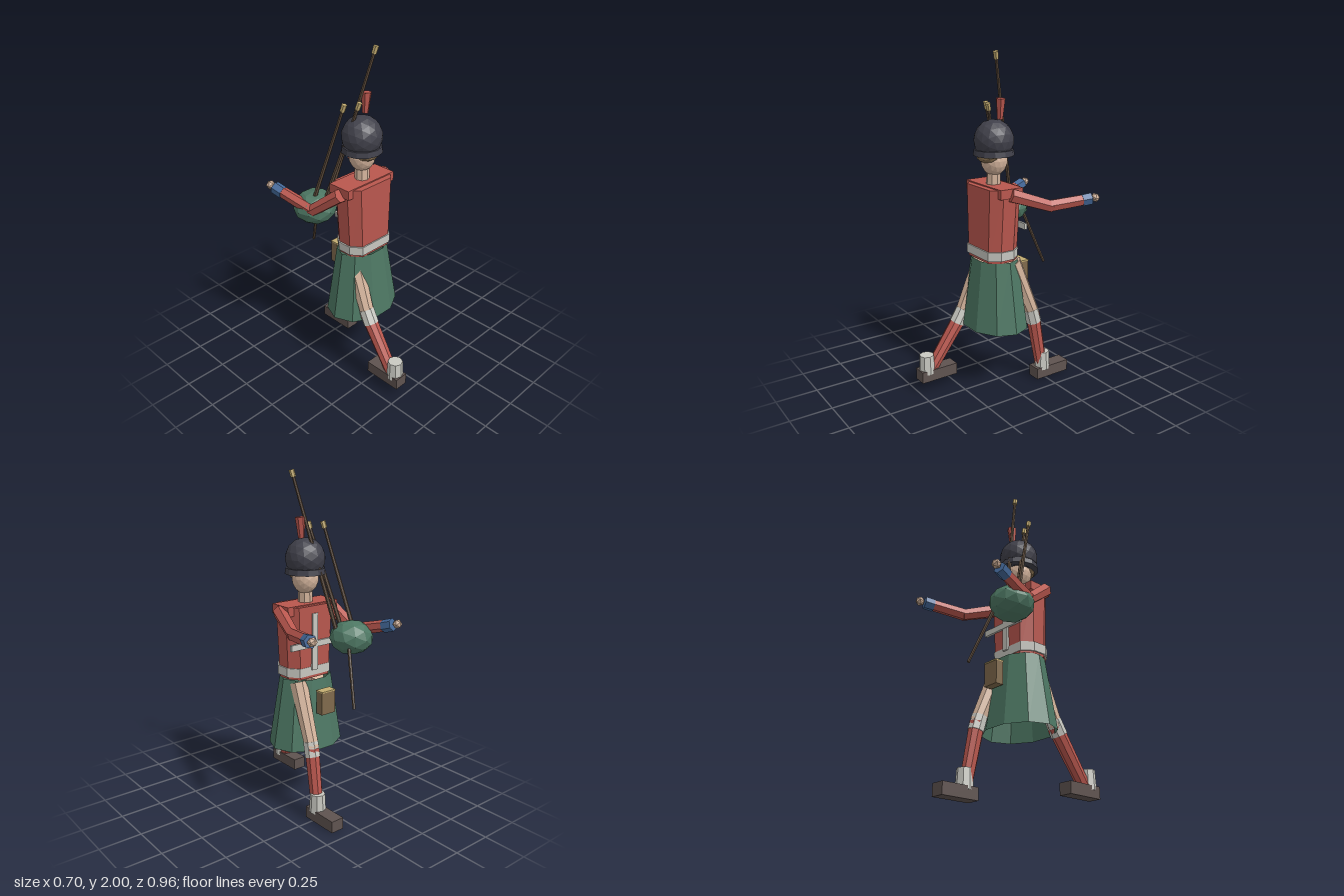
import * as THREE from 'three';

const mat = (name, color, opts = {}) => {
  const m = new THREE.MeshStandardMaterial({ color, flatShading: true, ...opts });
  m.name = name;
  return m;
};

export function createModel() {
  const root = new THREE.Group();
  root.name = 'piper';

  const red = mat('red cloth', 0xb9574e);
  const green = mat('green cloth', 0x4d7763, { side: THREE.DoubleSide });
  const white = mat('off white', 0xc9c9c2);
  const skin = mat('skin', 0xd3b39b);
  const black = mat('hat black', 0x40404a);
  const leather = mat('shoe leather', 0x5f5350);
  const wood = mat('dark wood', 0x5e4c3c);
  const gold = mat('gold', 0xc4ad72);
  const blue = mat('blue cuff', 0x44699a);
  const brown = mat('brown', 0x806a4c);

  const V = (p) => new THREE.Vector3(...p);
  const add = (name, geo, m, pos = [0, 0, 0], parent = root) => {
    const mesh = new THREE.Mesh(geo, m);
    mesh.name = name;
    mesh.position.set(...pos);
    parent.add(mesh);
    return mesh;
  };
  const box = (name, size, pos, m, parent) =>
    add(name, new THREE.BoxGeometry(...size), m, pos, parent);

  // Tapered cylinder from point a to point b
  const limb = (name, a, b, ra, rb, m, sides = 6, parent = root) => {
    const from = V(a), to = V(b), dir = to.clone().sub(from);
    const mesh = add(name, new THREE.CylinderGeometry(rb, ra, dir.length(), sides), m, [0, 0, 0], parent);
    mesh.position.copy(from).add(to).multiplyScalar(0.5);
    mesh.quaternion.setFromUnitVectors(new THREE.Vector3(0, 1, 0), dir.normalize());
    return mesh;
  };
  const mix = (a, b, t) => a.map((v, i) => v + (b[i] - v) * t);

  // Closed stack of chamfered rectangular rings: [y, halfX, halfZ, centreX, centreZ]
  const stack = (name, rings, m) => {
    const corner = [[1, 0.42], [0.7, 1], [-0.7, 1], [-1, 0.42], [-1, -0.42], [-0.7, -1], [0.7, -1], [1, -0.42]];
    const pos = [], idx = [], n = corner.length;
    rings.forEach(([y, hx, hz, cx, cz]) => corner.forEach(([x, z]) => pos.push(cx + x * hx, y, cz + z * hz)));
    for (let r = 0; r < rings.length - 1; r++) {
      for (let i = 0; i < n; i++) {
        const a = r * n + i, b = r * n + (i + 1) % n;
        idx.push(a, a + n, b, b, a + n, b + n);
      }
    }
    const top = (rings.length - 1) * n;
    for (let i = 1; i < n - 1; i++) idx.push(0, i, i + 1, top, top + i + 1, top + i);
    const g = new THREE.BufferGeometry();
    g.setAttribute('position', new THREE.Float32BufferAttribute(pos, 3));
    g.setIndex(idx);
    g.computeVertexNormals();
    return add(name, g, m);
  };

  // Jacket, shoulders and belt
  stack('jacket', [[0.81, 0.15, 0.1, -0.018, 0.036], [1.245, 0.172, 0.105, -0.015, 0.031]], red);
  box('shoulders', [0.365, 0.055, 0.15], [-0.018, 1.224, 0.025], red);
  stack('belt', [[0.826, 0.16, 0.105, -0.018, 0.038], [0.88, 0.162, 0.106, -0.018, 0.038]], white);

  // Straps on the chest
  box('chestStrapAcross', [0.3, 0.036, 0.016], [0.015, 1.018, -0.073], white);
  box('chestStrapDown', [0.04, 0.34, 0.016], [-0.01, 1.03, -0.071], white);

  // Kilt: ten sided open cone, shallower than wide
  const kilt = new THREE.CylinderGeometry(0.165, 0.237, 0.425, 10, 1, true);
  kilt.rotateY(Math.PI / 10).scale(1, 1, 0.79);
  add('kilt', kilt, green, [-0.018, 0.598, 0.024]);

  // Pouch hanging before the kilt
  box('pouch', [0.1, 0.135, 0.05], [-0.018, 0.684, -0.167], brown);
  box('pouchFlap', [0.1, 0.008, 0.056], [-0.018, 0.755, -0.167], gold);

  // Neck, head and hair
  limb('neck', [-0.02, 1.23, 0.028], [-0.018, 1.35, 0.025], 0.044, 0.04, skin, 8);
  const head = add('head', new THREE.IcosahedronGeometry(0.078, 2), skin, [-0.017, 1.39, 0.024]);
  head.scale.set(1, 1.18, 1);
  const hair = add('hair', new THREE.IcosahedronGeometry(0.075, 1), brown, [-0.017, 1.412, 0.062]);
  hair.scale.set(1, 0.52, 0.9);

  // Tall hat with band and plume
  const hat = add('hat', new THREE.IcosahedronGeometry(0.117, 2), black, [-0.018, 1.505, 0.025]);
  hat.scale.set(1, 1.02, 1);
  add('hatBand', new THREE.CylinderGeometry(0.115, 0.12, 0.034, 12), black, [-0.018, 1.435, 0.025]);
  limb('plume', [0.022, 1.625, 0.01], [0.031, 1.742, 0.011], 0.018, 0.029, red);

  // Arms: upper arm, forearm, cuff and hand
  const arm = (name, shoulder, elbow, wrist, hand) => {
    const g = new THREE.Group();
    g.name = name;
    root.add(g);
    limb('upperArm', shoulder, elbow, 0.042, 0.036, red, 6, g);
    limb('forearm', mix(elbow, shoulder, 0.06), wrist, 0.037, 0.034, red, 6, g);
    limb('cuff', mix(wrist, elbow, 0.22), mix(wrist, elbow, -0.02), 0.038, 0.038, blue, 6, g);
    add('hand', new THREE.IcosahedronGeometry(0.028, 0), skin, hand, g);
  };
  arm('leftArm', [0.165, 1.215, 0.03], [0.243, 1.135, -0.2], [0.312, 1.165, -0.425], [0.323, 1.17, -0.455]);
  arm('rightArm', [-0.215, 1.215, 0.05], [-0.268, 1.065, -0.14], [-0.317, 1.145, -0.392], [-0.325, 1.155, -0.425]);

  // Legs: thigh, hose, hose top, spat and shoe
  const leg = (name, hip, knee, ankle, spat, shoe) => {
    const g = new THREE.Group();
    g.name = name;
    root.add(g);
    limb('thigh', hip, knee, 0.055, 0.044, skin, 8, g);
    limb('hose', knee, ankle, 0.045, 0.037, red, 8, g);
    limb('hoseTop', mix(knee, hip, 0.1), mix(knee, ankle, 0.14), 0.047, 0.048, white, 8, g);
    add('spat', new THREE.CylinderGeometry(0.044, 0.05, 0.115, 8), white, spat, g);
    box('shoe', [0.084, 0.07, 0.237], shoe, leather, g);
  };
  leg('leftLeg', [0.08, 0.79, -0.035], [0.098, 0.43, -0.182], [0.108, 0.07, -0.245],
    [0.11, 0.11, -0.25], [0.107, 0.035, -0.307]);
  leg('rightLeg', [-0.115, 0.78, 0.045], [-0.135, 0.43, 0.19], [-0.146, 0.11, 0.41],
    [-0.146, 0.165, 0.43], [-0.147, 0.096, 0.363]);

  // Bagpipes: bag, three drones and chanter
  const bag = add('bag', new THREE.IcosahedronGeometry(0.13, 1), green, [-0.19, 1.052, -0.19]);
  bag.scale.set(1, 0.78, 1);
  const drones = [
    [[-0.105, 1.09, -0.157], [0.052, 1.998, 0.06]],
    [[-0.16, 1.12, -0.125], [-0.053, 1.71, 0.042]],
    [[-0.216, 1.12, -0.165], [-0.131, 1.71, 0.006]],
  ];
  drones.forEach(([a, b]) => {
    const cap = 0.042 / V(a).distanceTo(V(b));
    limb('drone', a, mix(a, b, 1 - cap / 2), 0.013, 0.009, wood);
    limb('droneCap', mix(a, b, 1 - cap), b, 0.015, 0.016, gold);
  });
  limb('chanter', [-0.12, 1.06, -0.24], [-0.05, 0.69, -0.376], 0.011, 0.009, wood);

  return root;
}
